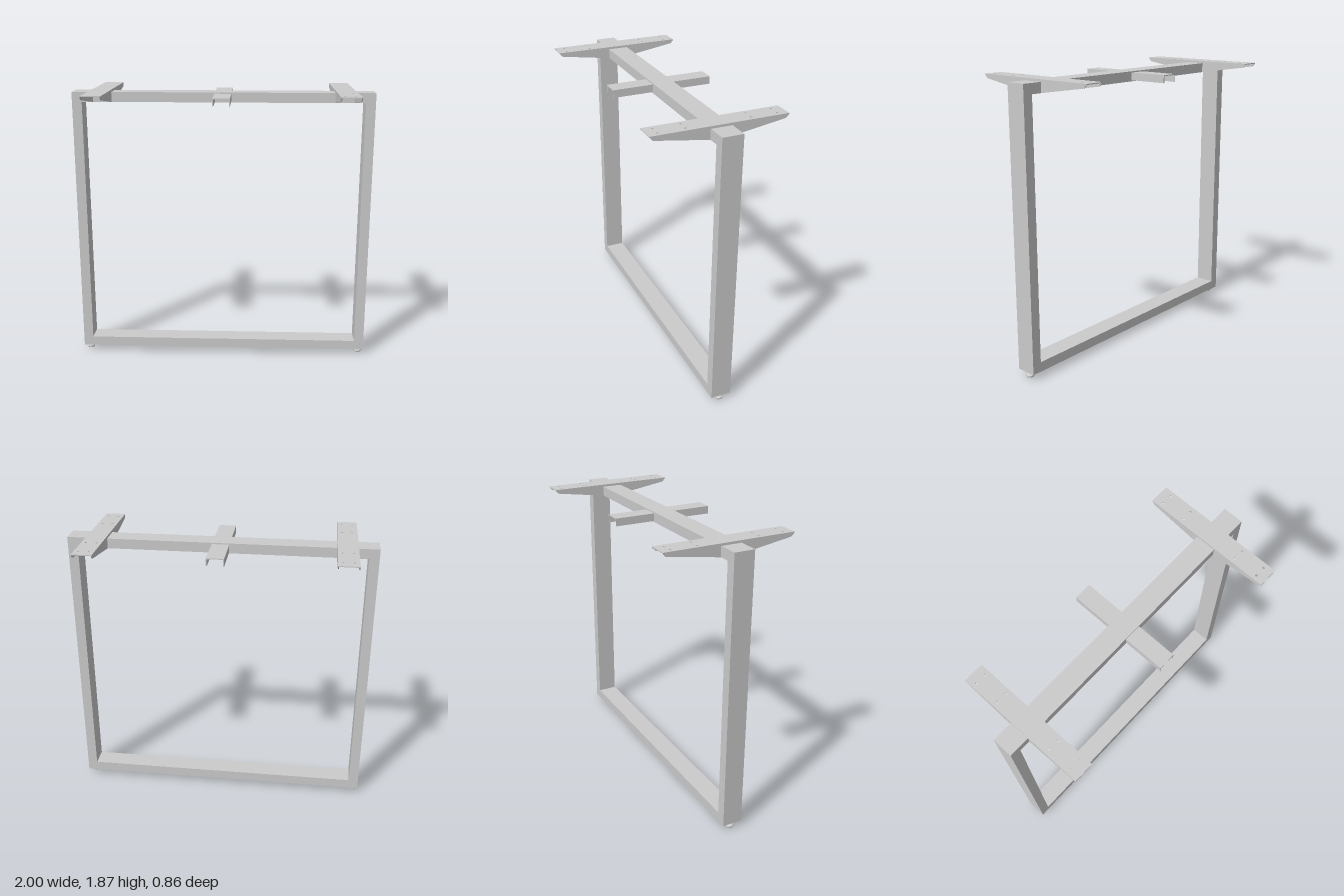
import * as THREE from 'three';

const mat = new THREE.MeshStandardMaterial({ color: 0xcccccc, side: THREE.DoubleSide });

function add(parent, name, geometry, x = 0, y = 0, z = 0) {
  const mesh = new THREE.Mesh(geometry, mat);
  mesh.name = name;
  mesh.position.set(x, y, z);
  parent.add(mesh);
  return mesh;
}

const box = (w, h, d) => new THREE.BoxGeometry(w, h, d);

const extrude = (shape, depth) =>
  new THREE.ExtrudeGeometry(shape, { depth, bevelEnabled: false, curveSegments: 6 });

const polygon = (pts) => new THREE.Shape(pts.map(([x, y]) => new THREE.Vector2(x, y)));

// Folded bracket: drilled top plate with two tapered side flanges notched around the beam
function createBracket() {
  const bracket = new THREE.Group();
  bracket.name = 'tabletopBracket';
  const hw = 0.065, len = 0.432, t = 0.006, top = 1.87;

  const plate = polygon([[-hw, -len], [hw, -len], [hw, len], [-hw, len]]);
  for (const x of [-0.034, 0.034])
    for (const z of [-0.37, -0.203, 0.203, 0.37]) {
      const hole = new THREE.Path();
      hole.absarc(x, z, 0.008, 0, Math.PI * 2, true);
      plate.holes.push(hole);
    }
  const plateGeo = extrude(plate, t);
  plateGeo.rotateX(-Math.PI / 2);
  add(bracket, 'bracketPlate', plateGeo, 0, top - t, 0);

  const flange = polygon([
    [-len, top - t], [-0.412, 1.843], [-0.068, 1.79], [-0.068, 1.855],
    [0.068, 1.855], [0.068, 1.79], [0.412, 1.843], [len, top - t],
  ]);
  for (const x of [-hw, hw - t]) {
    const geo = extrude(flange, t);
    geo.rotateY(-Math.PI / 2);
    add(bracket, 'bracketFlange', geo, x + t, 0, 0);
  }
  return bracket;
}

// Adjustable foot: threaded stem on a flared pad
function createFootGeometry() {
  const pts = [[0, 0], [0.024, 0], [0.026, 0.003], [0.026, 0.012], [0.011, 0.02], [0.009, 0.02], [0.009, 0.042]];
  const geo = new THREE.LatheGeometry(pts.map(([x, y]) => new THREE.Vector2(x, y)), 20).toNonIndexed();
  geo.computeVertexNormals();
  return geo;
}

export function createModel() {
  const model = new THREE.Group();
  model.name = 'tableLegFrame';
  const tube = 0.065, depth = 0.134, bottom = 0.04, top = 1.855;

  // Rectangular frame
  for (const y of [bottom + tube / 2, top - tube / 2])
    add(model, y < 1 ? 'bottomRail' : 'topRail', box(2 - 2 * tube, tube, depth), 0, y, 0);

  for (const s of [-1, 1]) {
    const side = s < 0 ? 'right' : 'left';
    add(model, side + 'Post', box(tube, top - bottom, depth), s * (1 - tube / 2), (top + bottom) / 2, 0);
    add(model, side + 'Foot', createFootGeometry(), s * (1 - tube / 2), 0, 0);

    const bracket = createBracket();
    bracket.position.x = s * 0.8;
    model.add(bracket);
  }

  // Downward-open channel stubs on both sides of the top rail
  const channel = polygon([
    [-0.056, 1.797], [-0.05, 1.797], [-0.05, 1.841], [0.05, 1.841],
    [0.05, 1.797], [0.056, 1.797], [0.056, 1.847], [-0.056, 1.847],
  ]);
  const reach = 0.334 - depth / 2;
  add(model, 'frontChannel', extrude(channel, reach), 0, 0, depth / 2);
  add(model, 'backChannel', extrude(channel, reach), 0, 0, -0.334);

  return model;
}
